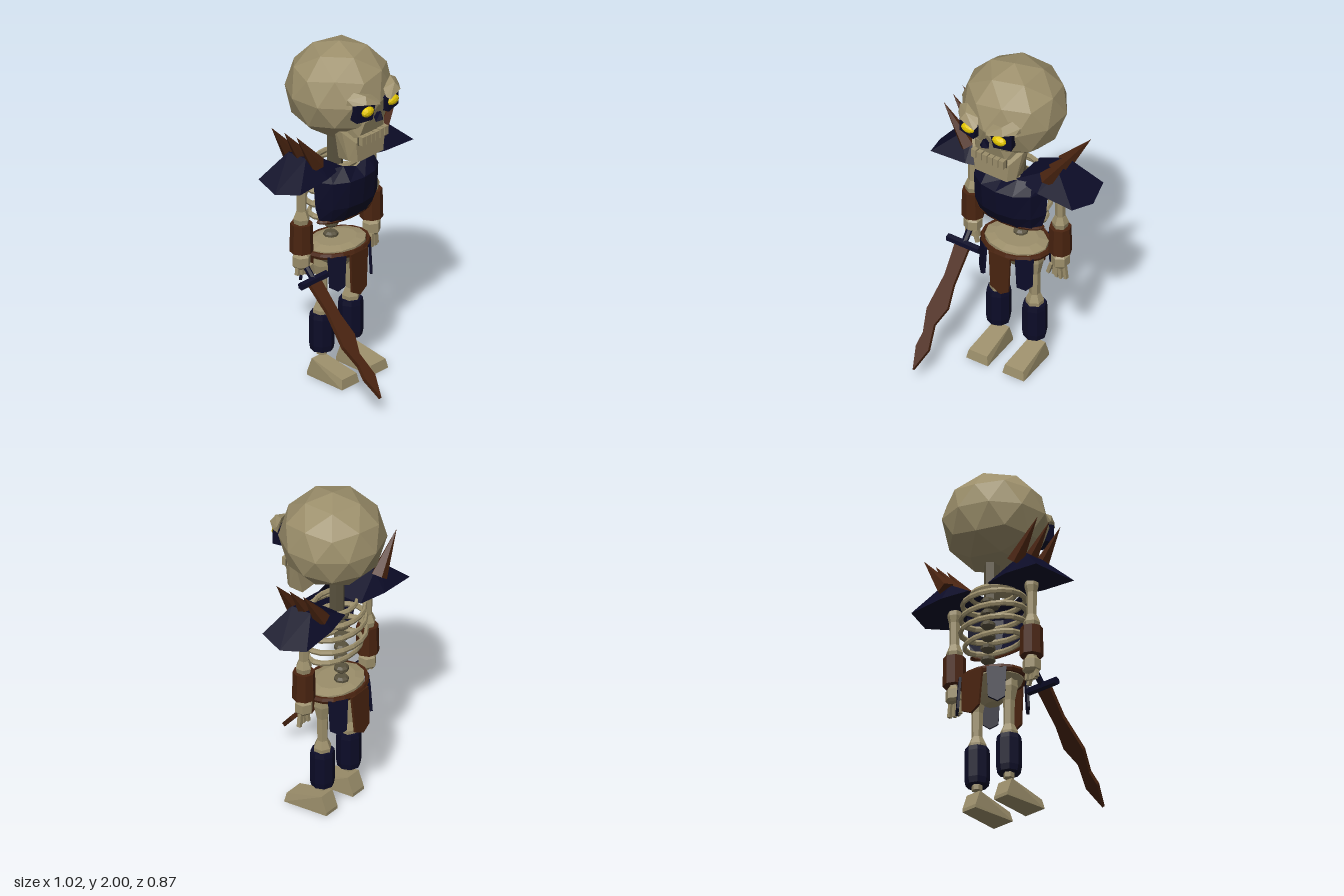
import * as THREE from 'three';
import { ConvexGeometry } from 'three/addons/geometries/ConvexGeometry.js';

const mat = (name, color) => {
  const m = new THREE.MeshStandardMaterial({ color, flatShading: true, side: THREE.DoubleSide });
  m.name = name;
  return m;
};

export function createModel() {
  const root = new THREE.Group();
  root.name = 'skeletonWarrior';
  const bone = mat('bone', 0x9c8f6b);
  const darkBone = mat('darkBone', 0x59523e);
  const navy = mat('navyArmour', 0x0c0c28);
  const brown = mat('brownLeather', 0x4a2410);
  const yellow = mat('yellowEye', 0xe6c800);

  const add = (name, geo, material, x = 0, y = 0, z = 0) => {
    const m = new THREE.Mesh(geo, material);
    m.name = name;
    m.position.set(x, y, z);
    root.add(m);
    return m;
  };
  const hull = (name, pts, material) =>
    add(name, new ConvexGeometry(pts.map(p => new THREE.Vector3(...p))), material);
  // Points given for +x are repeated on -x
  const both = pts => pts.flatMap(([x, y, z]) => [[x, y, z], [-x, y, z]]);
  // Turned part from [radius, y] points, closed at both ends
  const turned = (name, pts, sides, material, x, z) => {
    const prof = [[0, pts[0][1]], ...pts, [0, pts[pts.length - 1][1]]];
    return add(name, new THREE.LatheGeometry(prof.map(p => new THREE.Vector2(...p)), sides), material, x, 0, z);
  };
  // Horizontal elliptical ring
  const ring = (name, material, rx, rz, tube, high, y, z, arc = Math.PI * 2) => {
    const g = new THREE.TorusGeometry(1, tube / rx, 6, 18, arc);
    g.rotateX(Math.PI / 2);
    g.scale(rx, high / (tube / rx), rz);
    return add(name, g, material, 0, y, z);
  };
  const slab = (pts, depth) => {
    const g = new THREE.ExtrudeGeometry(new THREE.Shape(pts.map(p => new THREE.Vector2(...p))),
      { depth, bevelEnabled: false });
    return g.translate(0, 0, -depth / 2);
  };

  // Skull with a vertex at the crown
  const skull = new THREE.IcosahedronGeometry(0.3, 1);
  skull.rotateZ(Math.atan(2 / (1 + Math.sqrt(5))));
  skull.scale(1, 0.94, 1);
  add('skull', skull, bone, 0, 1.72, -0.13);
  hull('upperJaw', both([[0.13, 1.51, 0.04], [0.1, 1.52, 0.105], [0.08, 1.61, 0.13], [0.14, 1.6, 0.05]]), bone);
  hull('lowerJaw', both([[0.13, 1.37, -0.02], [0.14, 1.38, 0.06], [0.105, 1.37, 0.1],
    [0.175, 1.56, -0.01], [0.17, 1.555, 0.04], [0.12, 1.49, 0.1]]), bone);
  for (let i = 0; i < 6; i++) {
    const x = (i - 2.5) * 0.037;
    add('tooth', new THREE.BoxGeometry(0.03, 0.052, 0.04), bone, x, 1.5 + Math.abs(x) * 0.06, 0.117);
  }
  add('mouthLine', new THREE.BoxGeometry(0.22, 0.05, 0.009), darkBone, 0, 1.5, 0.106);
  hull('noseHole', [[0, 1.67, 0.175], [0.03, 1.61, 0.165], [-0.03, 1.61, 0.165],
    [0, 1.62, 0.19], [0, 1.64, 0.11]], navy);

  for (const s of [1, -1]) {
    // Face details
    const socket = add('eyeSocket', slab([[-0.065, 0.035], [0.065, 0.055], [0.062, -0.05], [-0.045, -0.055]]
      .map(([x, y]) => [x * s, y]), 0.06), navy, s * 0.105, 1.695, 0.135);
    socket.rotation.y = s * 0.2;
    const eye = new THREE.IcosahedronGeometry(1, 1);
    eye.scale(0.045, 0.03, 0.025);
    add('eye', eye, yellow, s * 0.103, 1.7, 0.17);
    hull('brow', [[0.2, 1.75, 0.1], [0.2, 1.785, 0.105], [0.19, 1.755, 0.14], [0.15, 1.815, 0.11],
      [0.14, 1.76, 0.195], [0.04, 1.735, 0.21], [0.03, 1.75, 0.185], [0.05, 1.78, 0.15],
      [0.12, 1.8, 0.17]].map(([x, y, z]) => [s * x, y, z]), bone);

    // Shoulder guard and its spikes
    hull('shoulderGuard', [[0.32, 1.41, -0.09], [0.32, 1.41, -0.22], [0.25, 1.395, -0.08],
      [0.25, 1.395, -0.23], [0.47, 1.27, 0], [0.51, 1.24, -0.15], [0.47, 1.27, -0.305],
      [0.07, 1.29, -0.04], [0.07, 1.29, -0.27], [0.24, 1.285, 0], [0.24, 1.285, -0.305]]
      .map(([x, y, z]) => [s * x, y, z]), navy);
    for (const z of [-0.065, -0.155, -0.248]) {
      const spike = add('shoulderSpike', new THREE.ConeGeometry(0.05, 0.28, 5), brown, s * 0.344, 1.475, z);
      spike.rotation.z = -s * 0.64;
    }

    // Arm
    const ax = s * 0.29, az = -0.15;
    turned('upperArm', [[0.028, 1.04], [0.03, 1.2], [0.04, 1.24], [0.036, 1.3]], 6, bone, ax, az);
    turned('elbow', [[0.038, 0.97], [0.048, 1.02], [0.03, 1.065]], 6, bone, ax, az);
    turned('bracer', [[0.066, 0.82], [0.062, 0.99]], 8, brown, ax, az);
    turned('wrist', [[0.038, 0.72], [0.052, 0.735], [0.052, 0.79], [0.032, 0.81], [0.03, 0.83]], 6, bone, ax, az);
    const len = s > 0 ? 0.09 : 0.05;
    for (let i = 0; i < 4; i++) {
      const f = add('finger', new THREE.BoxGeometry(0.018, len, 0.022), bone,
        ax + s * (i - 1.5) * 0.023, 0.735 - len / 2, az + 0.02 - Math.abs(i - 1.5) * 0.012);
      f.rotation.z = s * (i - 1.5) * 0.08;
    }
    const thumb = add('thumb', new THREE.BoxGeometry(0.02, 0.07, 0.022), bone, s * 0.245, 0.705, az + 0.035);
    thumb.rotation.z = -s * 0.3;

    // Leg
    const lx = s * 0.12;
    turned('thigh', [[0.03, 0.43], [0.033, 0.6], [0.05, 0.68], [0.045, 0.75]], 6, bone, lx, az);
    turned('knee', [[0.05, 0.37], [0.052, 0.41], [0.032, 0.455]], 6, bone, lx, az);
    turned('shinGuard', [[0.064, 0.165], [0.07, 0.2], [0.07, 0.36], [0.066, 0.388]], 8, navy, lx, az);
    turned('ankle', [[0.03, 0.135], [0.033, 0.2]], 6, bone, lx, az);
    hull('foot', [[0.072, 0, 0.06], [0.06, 0.055, 0.05], [0.05, 0.112, -0.18], [0.05, 0, -0.215],
      [0.05, 0.02, -0.215]].flatMap(([x, y, z]) => [[lx + x, y, z], [lx - x, y, z]]), bone);
  }

  // Spine, neck and ribs
  for (let i = 0; i < 7; i++) {
    turned('vertebra', [[0.028, -0.02], [0.042, -0.008], [0.042, 0.008], [0.028, 0.02]], 8, darkBone, 0, -0.19)
      .position.y = 0.805 + i * 0.07;
  }
  add('neck', new THREE.CylinderGeometry(0.045, 0.045, 0.28, 6), darkBone, 0, 1.34, -0.16);
  [[1.285, 0.14, 0.11], [1.235, 0.19, 0.15], [1.155, 0.205, 0.15], [1.075, 0.205, 0.155], [0.995, 0.19, 0.12]]
    .forEach(([y, rx, rz]) => ring('rib', bone, rx, rz, 0.015, 0.017, y, -0.145));

  // Curved breastplate
  const plate = new THREE.PlaneGeometry(2, 3, 6, 3);
  const rows = [[0.995, 0.212, -0.01, -0.09], [1.07, 0.23, 0.045, -0.1], [1.23, 0.235, 0.06, -0.11], [1.3, 0.215, -0.005, -0.11]];
  const pos = plate.attributes.position;
  for (let i = 0; i < pos.count; i++) {
    const u = pos.getX(i), r = Math.round(pos.getY(i) + 1.5);
    const [y, hw, zMid, zSide] = rows[r];
    const bend = Math.pow(Math.abs(u), 2.2);
    const dip = r === 0 ? -0.025 * (1 - bend) : r === 3 ? (u === 0 ? -0.025 : 0.01 - 0.02 * bend) : 0;
    pos.setXYZ(i, Math.sin(u * 1.35) / Math.sin(1.35) * hw, y + dip, zMid + (zSide - zMid) * bend);
  }
  plate.computeVertexNormals();
  add('breastplate', plate, navy);
  ring('breastplateTrim', brown, 0.208, 0.09, 0.013, 0.012, 0.982, -0.1, Math.PI);

  // Pelvis, belt and hanging cloth
  const pelvis = turned('pelvis', [[0.05, 0.62], [0.1, 0.66], [0.19, 0.745], [0.19, 0.785], [0.13, 0.8]], 12, bone, 0, -0.15);
  pelvis.scale.z = 0.75;
  ring('belt', brown, 0.2, 0.158, 0.015, 0.02, 0.764, -0.15);
  const flap = (name, material, angle, w, h, tilt) => {
    const g = slab([[-w, 0], [w, 0], [w * 0.85, -h * 0.87], [w * 0.1, -h], [-w * 0.85, -h * 0.87]], 0.014);
    const m = add(name, g, material, Math.sin(angle) * 0.205, 0.765, -0.15 + Math.cos(angle) * 0.163);
    m.rotation.set(-tilt, angle, 0, 'YXZ');
  };
  flap('frontCloth', brown, 0, 0.07, 0.265, 0);
  flap('backCloth', brown, Math.PI, 0.075, 0.26, 0.07);
  for (const s of [1, -1]) {
    flap('frontSideCloth', navy, s * 0.72, 0.052, 0.205, 0.05);
    flap('backSideCloth', navy, s * 2.4, 0.055, 0.215, 0.07);
  }

  // Wavy sword, pointing forward and down from the right hand
  const sword = new THREE.Group();
  sword.name = 'sword';
  sword.position.set(-0.29, 0.68, -0.07);
  sword.rotation.x = Math.PI - 0.711;
  root.add(sword);
  const part = (name, geo, material, y) => {
    const m = add(name, geo, material, 0, y, 0);
    sword.add(m);
  };
  part('blade', slab([[-0.05, 0], [-0.035, 0.21], [-0.06, 0.42], [-0.027, 0.55], [-0.037, 0.63], [0, 0.76],
    [0.045, 0.63], [0.02, 0.49], [0.06, 0.38], [0.04, 0.25], [0.042, 0]], 0.024), brown, 0);
  const guard = new THREE.CylinderGeometry(0.024, 0.024, 0.21, 6);
  guard.rotateZ(Math.PI / 2);
  part('guard', guard, navy, 0.015);
  part('grip', new THREE.CylinderGeometry(0.018, 0.018, 0.13, 6), navy, -0.05);

  return root;
}
